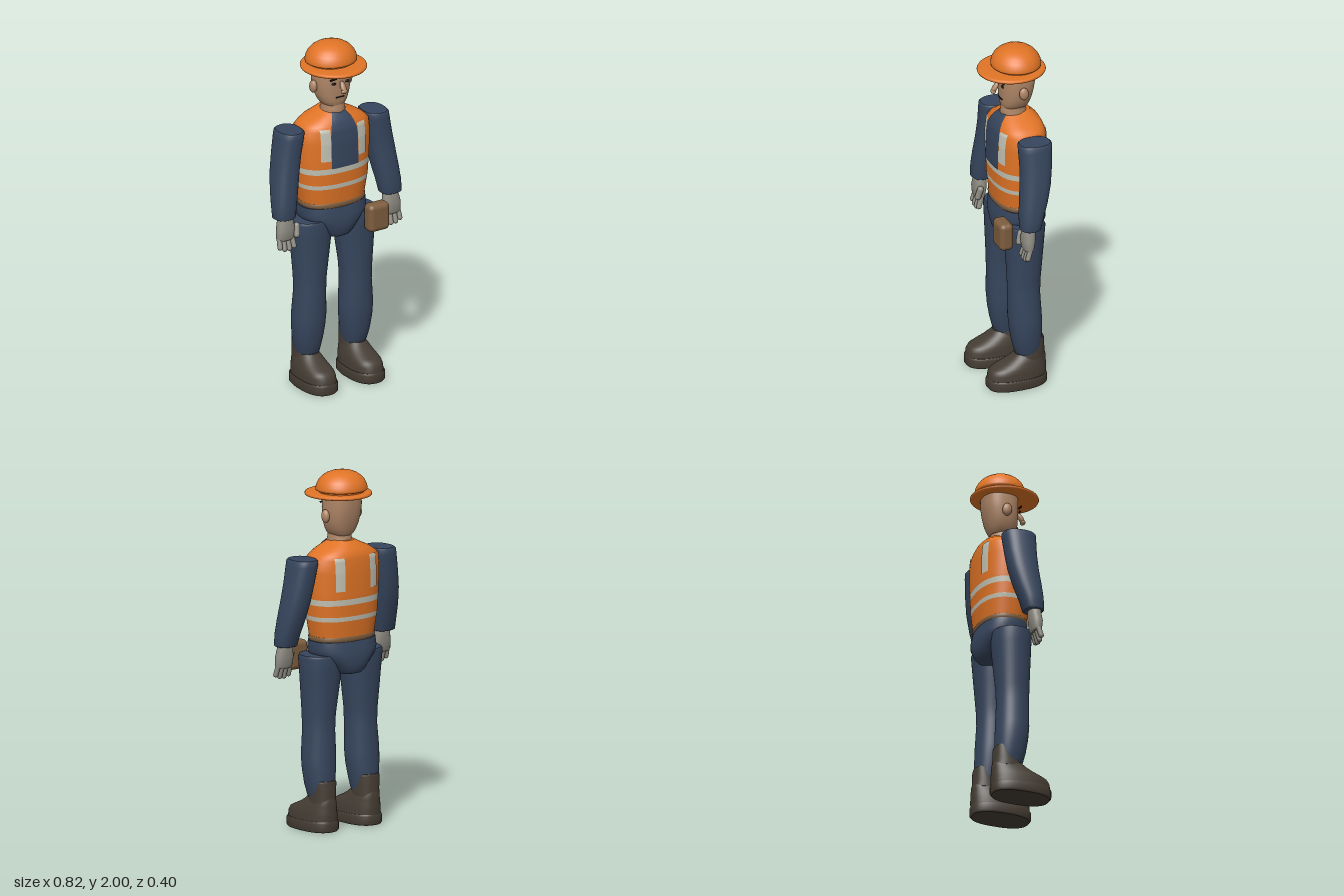
import * as THREE from 'three';
import { RoundedBoxGeometry } from 'three/addons/geometries/RoundedBoxGeometry.js';

const mat = (name, color, side = THREE.FrontSide) =>
  Object.assign(new THREE.MeshStandardMaterial({ color, side }), { name });

// Each key is [y, xMin, xMax, zMin, zMax]; sections between keys are interpolated.
function sectionAt(keys, y) {
  let i = 0;
  while (i < keys.length - 2 && y > keys[i + 1][0]) i++;
  const a = keys[i], b = keys[i + 1];
  const t = THREE.MathUtils.clamp((y - a[0]) / (b[0] - a[0]), 0, 1);
  return a.map((v, k) => (k === 0 ? y : v + (b[k] - v) * t));
}

// Closed surface through superellipse sections, with flat ends.
function loft(keys, { n = 2.3, seg = 40, s = 1, caps = true } = {}) {
  const pos = [], idx = [];
  const ring = ([y, x0, x1, z0, z1]) => {
    for (let i = 0; i < seg; i++) {
      const a = (i / seg) * Math.PI * 2, c = Math.cos(a), d = Math.sin(a);
      const e = (v) => Math.sign(v) * Math.abs(v) ** (2 / n);
      pos.push(s * (x0 + x1) / 2 + e(c) * (x1 - x0) / 2, y, (z0 + z1) / 2 + e(d) * (z1 - z0) / 2);
    }
  };
  keys.forEach(ring);
  for (let j = 0; j < keys.length - 1; j++)
    for (let i = 0; i < seg; i++) {
      const a = j * seg + i, b = j * seg + (i + 1) % seg;
      idx.push(a, a + seg, b, b, a + seg, b + seg);
    }
  if (caps) [keys[0], keys[keys.length - 1]].forEach((k, top) => {
    const base = pos.length / 3;
    ring(k);
    pos.push(s * (k[1] + k[2]) / 2, k[0], (k[3] + k[4]) / 2);
    for (let i = 0; i < seg; i++) {
      const a = base + i, b = base + (i + 1) % seg;
      idx.push(base + seg, ...(top ? [b, a] : [a, b]));
    }
  });
  return finish(pos, idx);
}

function finish(pos, idx) {
  const g = new THREE.BufferGeometry();
  g.setAttribute('position', new THREE.Float32BufferAttribute(pos, 3));
  g.setIndex(idx);
  g.computeVertexNormals();
  return g;
}

// Symmetric section key: y, half width, back z, front z
const sym = ([y, w, z0, z1]) => [y, -w, w, z0, z1];

const TORSO = [
  [1.07, 0.19, -0.165, 0.095], [1.2, 0.213, -0.177, 0.107], [1.32, 0.222, -0.181, 0.111],
  [1.45, 0.228, -0.179, 0.108], [1.52, 0.222, -0.174, 0.1], [1.545, 0.195, -0.167, 0.091],
  [1.57, 0.155, -0.155, 0.077], [1.595, 0.1, -0.13, 0.055], [1.615, 0.062, -0.11, 0.035],
].map(sym);
const TORSO_N = 2.4;

// Thin panel that follows the front (f = 1) or back (f = -1) of the torso.
function torsoPatch(f, y0, y1, range) {
  const pos = [], idx = [], C = 10, R = 24, lift = 0.004;
  for (let j = 0; j <= R; j++) {
    const y = y0 + (y1 - y0) * j / R, [, , w, z0, z1] = sectionAt(TORSO, y), [a, b] = range(y);
    for (let i = 0; i <= C; i++) {
      const x = a + (b - a) * i / C;
      const k = (1 - Math.min(1, Math.abs(x / (w + lift))) ** TORSO_N) ** (1 / TORSO_N);
      pos.push(x, y + (y > 1.55 ? lift : 0), (z0 + z1) / 2 + f * ((z1 - z0) / 2 + lift) * k);
      if (i < C && j < R) {
        const p = j * (C + 1) + i, q = p + C + 1;
        idx.push(...(f > 0 ? [p, p + 1, q, p + 1, q + 1, q] : [p, q, p + 1, p + 1, q, q + 1]));
      }
    }
  }
  return finish(pos, idx);
}

export function createModel() {
  const model = new THREE.Group();
  model.name = 'worker';
  const orange = mat('safety orange', 0xe07426), navy = mat('navy cloth', 0x37465e),
    skin = mat('skin', 0xaf8667), glove = mat('glove grey', 0x8f8d83),
    silver = mat('reflective strip', 0xc2c2b4, THREE.DoubleSide), boot = mat('boot brown', 0x453d34),
    leather = mat('leather', 0x7d5d3e), dark = mat('face dark', 0x1e1814);
  const shirtMat = mat('navy shirt', 0x37465e, THREE.DoubleSide);

  const add = (name, geo, material, x = 0, y = 0, z = 0, rx = 0, rz = 0) => {
    const m = new THREE.Mesh(geo, material);
    m.name = name;
    m.position.set(x, y, z);
    m.rotation.set(rx, 0, rz);
    model.add(m);
    return m;
  };

  // Vest in horizontal bands, alternating cloth and reflective strip
  const cuts = [1.07, 1.18, 1.205, 1.27, 1.303, 1.615];
  for (let i = 0; i < 5; i++) {
    const a = cuts[i], b = cuts[i + 1];
    const keys = [sectionAt(TORSO, a), ...TORSO.filter((k) => k[0] > a && k[0] < b), sectionAt(TORSO, b)];
    add(i % 2 ? 'vestStrip' : 'vest', loft(keys, { n: TORSO_N, seg: 64, caps: i === 0 || i === 4 }), i % 2 ? silver : orange);
  }
  // Shirt opening and vertical strips
  add('shirtFront', torsoPatch(1, 1.303, 1.61, (y) => {
    const t = Math.max(0, (y - 1.48) / 0.13), w = 0.087 - 0.047 * t * t;
    return [-w, w];
  }), shirtMat);
  for (const s of [-1, 1]) for (const f of [-1, 1])
    add(f > 0 ? 'frontStrip' : 'backStrip', torsoPatch(f, 1.35, 1.535, () => (s > 0 ? [0.088, 0.145] : [-0.145, -0.088])), silver);

  // Belt, hips and pouch
  add('belt', loft([[1.058, 0.188, -0.163, 0.093], [1.066, 0.196, -0.17, 0.1], [1.083, 0.197, -0.171, 0.101],
    [1.092, 0.19, -0.165, 0.095]].map(sym), { n: TORSO_N, seg: 64 }), leather);
  add('hips', loft([[0.87, 0.05, -0.13, 0.05], [0.878, 0.085, -0.158, 0.08], [0.9, 0.108, -0.176, 0.096],
    [0.94, 0.145, -0.182, 0.104], [0.975, 0.185, -0.182, 0.106], [1.01, 0.203, -0.178, 0.103],
    [1.062, 0.2, -0.166, 0.094]].map(sym), { n: 2.5, seg: 56 }), navy);
  add('pouch', new RoundedBoxGeometry(0.134, 0.162, 0.08, 4, 0.028), leather, 0.198, 0.965, 0.124);

  // Neck and head
  add('neck', loft([[1.58, 0.07, -0.1, 0.05], [1.61, 0.07, -0.094, 0.055], [1.625, 0.064, -0.088, 0.052],
    [1.66, 0.064, -0.088, 0.048]].map(sym), { n: 2 }), skin);
  add('head', loft([[1.64, 0.055, -0.09, 0.042], [1.65, 0.068, -0.098, 0.05], [1.675, 0.083, -0.108, 0.055],
    [1.71, 0.096, -0.119, 0.058], [1.76, 0.105, -0.13, 0.06], [1.81, 0.107, -0.137, 0.06],
    [1.865, 0.104, -0.139, 0.06]].map(sym), { n: 2.4 }), skin);
  add('nose', new THREE.SphereGeometry(1, 20, 14), skin, 0, 1.766, 0.09, -0.55).scale.set(0.017, 0.037, 0.014);
  add('noseTip', new THREE.SphereGeometry(1, 16, 12), skin, 0, 1.746, 0.1).scale.set(0.021, 0.013, 0.014);
  add('mouth', new THREE.BoxGeometry(0.052, 0.006, 0.006), dark, 0, 1.698, 0.058);
  for (const s of [-1, 1]) {
    add('ear', new THREE.SphereGeometry(1, 20, 14), skin, s * 0.115, 1.755, -0.036, 0.1).scale.set(0.02, 0.037, 0.027);
    add('eye', new THREE.SphereGeometry(1, 14, 10), dark, s * 0.045, 1.786, 0.064).scale.set(0.014, 0.008, 0.005);
    add('eyebrow', new THREE.BoxGeometry(0.04, 0.008, 0.008), dark, s * 0.048, 1.813, 0.066, 0, -s * 0.08);
  }

  // Hard hat
  const lathe = (pts) => new THREE.LatheGeometry(pts.map((p) => new THREE.Vector2(...p)), 56);
  add('hatBrim', lathe([[0, 1.857], [0.17, 1.857], [0.18, 1.86], [0.183, 1.867], [0.18, 1.874], [0.17, 1.878],
    [0.125, 1.881], [0, 1.882]]), orange, 0, 0, -0.008).scale.z = 1.045;
  add('hatBand', new THREE.CylinderGeometry(0.128, 0.128, 0.02, 48), orange, 0, 1.885, -0.035).scale.z = 0.95;
  add('hatDome', lathe([[0, 1.889], [0.138, 1.889], [0.146, 1.893], [0.147, 1.902], [0.143, 1.921], [0.131, 1.945],
    [0.112, 1.966], [0.088, 1.982], [0.06, 1.993], [0.03, 1.9985], [0, 2]]), orange, 0, 0, -0.035).scale.z = 0.945;

  // Limbs, listed for the left side and mirrored
  for (const s of [-1, 1]) {
    add('sleeve', loft([[1.046, 0.292, 0.4, -0.022, 0.076], [1.052, 0.285, 0.411, -0.032, 0.084], [1.12, 0.273, 0.41, -0.05, 0.083],
      [1.2, 0.258, 0.402, -0.078, 0.077], [1.3, 0.24, 0.389, -0.103, 0.066], [1.4, 0.224, 0.372, -0.117, 0.061],
      [1.5, 0.206, 0.355, -0.126, 0.063], [1.528, 0.203, 0.35, -0.126, 0.063], [1.536, 0.21, 0.342, -0.118, 0.055]],
    { s, n: 2.4 }), navy);

    // Gloved hand
    add('palm', loft([[0.922, 0.303, 0.395, 0.022, 0.062], [0.935, 0.292, 0.404, 0.012, 0.07], [0.985, 0.29, 0.403, 0.003, 0.076],
      [1.03, 0.298, 0.393, 0, 0.07], [1.06, 0.302, 0.39, 0, 0.066]], { s, seg: 28 }), glove);
    [0.304, 0.334, 0.363, 0.391].forEach((x, i) =>
      add('finger', new THREE.CapsuleGeometry(0.0145, [0.05, 0.06, 0.058, 0.045][i], 5, 12), glove,
        s * x, [0.904, 0.9, 0.901, 0.908][i], 0.05, -0.3, s * (i - 1.5) * 0.05));
    add('thumb', new THREE.CapsuleGeometry(0.018, 0.05, 5, 14), glove, s * 0.287, 0.972, 0.062, -0.25, s * 0.15);

    // Trouser leg
    add('trouserLeg', loft([[0.155, 0.105, 0.2, -0.08, -0.01], [0.165, 0.095, 0.21, -0.105, 0.015], [0.2, 0.086, 0.222, -0.114, 0.035],
      [0.26, 0.075, 0.236, -0.119, 0.05], [0.34, 0.063, 0.246, -0.118, 0.063], [0.42, 0.058, 0.249, -0.115, 0.07],
      [0.56, 0.062, 0.237, -0.108, 0.071], [0.65, 0.058, 0.24, -0.111, 0.073], [0.8, 0.037, 0.252, -0.124, 0.079],
      [0.9, 0.024, 0.26, -0.132, 0.083], [0.975, 0.02, 0.267, -0.137, 0.086], [0.988, 0.028, 0.26, -0.13, 0.079]],
    { s, n: 2.2 }), navy);

    // Boot: sole, upper and rear shaft
    add('bootSole', loft([[0, 0.062, 0.246, -0.138, 0.192], [0.01, 0.054, 0.254, -0.146, 0.2], [0.05, 0.054, 0.254, -0.146, 0.2],
      [0.06, 0.06, 0.248, -0.141, 0.194]], { s, n: 2.5 }), boot);
    add('bootUpper', loft([[0.058, 0.062, 0.246, -0.142, 0.195], [0.09, 0.064, 0.244, -0.144, 0.192], [0.112, 0.068, 0.24, -0.143, 0.178],
      [0.128, 0.073, 0.235, -0.142, 0.145], [0.145, 0.079, 0.229, -0.141, 0.105], [0.168, 0.086, 0.222, -0.14, 0.062],
      [0.19, 0.098, 0.21, -0.134, 0.036]], { s, n: 2.4 }), boot);
    add('bootShaft', loft([[0.16, 0.084, 0.224, -0.137, 0.03], [0.2, 0.085, 0.223, -0.134, 0.02], [0.272, 0.088, 0.22, -0.13, -0.03],
      [0.284, 0.096, 0.212, -0.125, -0.05]], { s, n: 2.2 }), boot);
  }
  return model;
}
